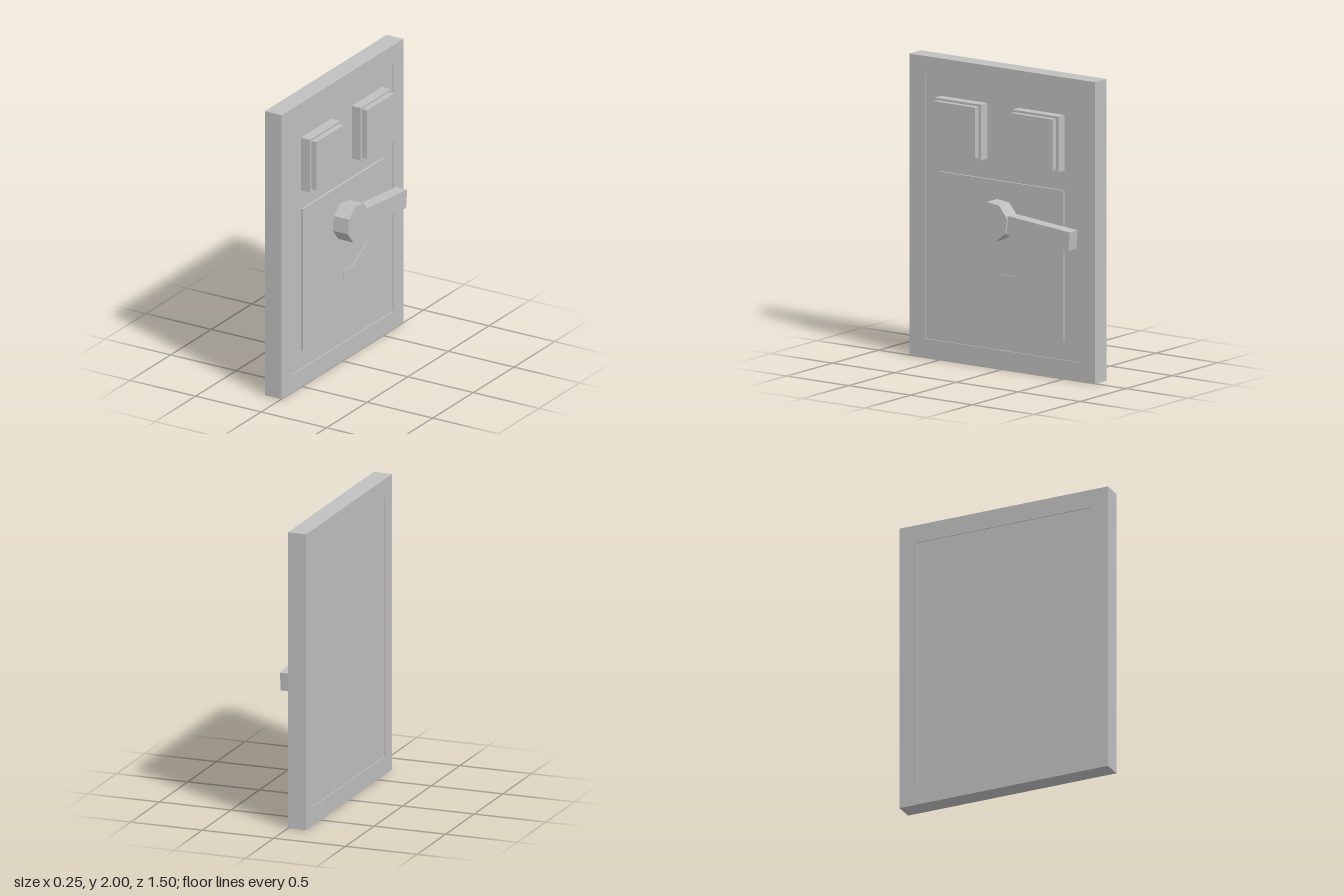
import * as THREE from 'three';

const grey = new THREE.MeshStandardMaterial({ color: 0xc0c0c0, flatShading: true });
grey.name = 'plain grey';

// Local frame: u across the panel, v up, w outwards from the face.
function add(parent, name, geometry) {
  const mesh = new THREE.Mesh(geometry, grey);
  mesh.name = name;
  parent.add(mesh);
  return mesh;
}

function block(u0, u1, v0, v1, w0, w1) {
  return new THREE.BoxGeometry(u1 - u0, v1 - v0, w1 - w0)
    .translate((u0 + u1) / 2, (v0 + v1) / 2, (w0 + w1) / 2);
}

function slab(points, w0, w1, hole) {
  const shape = new THREE.Shape(points.map(([u, v]) => new THREE.Vector2(u, v)));
  if (hole) shape.holes.push(new THREE.Path(hole.map(([u, v]) => new THREE.Vector2(u, v))));
  return new THREE.ExtrudeGeometry(shape, { depth: w1 - w0, bevelEnabled: false }).translate(0, 0, w0);
}

const rect = (u, v0, v1) => [[-u, v0], [u, v0], [u, v1], [-u, v1]];

export function createModel() {
  const model = new THREE.Group();
  model.name = 'leverPanel';
  const panel = new THREE.Group();
  panel.name = 'panelAssembly';
  panel.rotation.y = Math.PI / 2;
  model.add(panel);

  // Border with a shallow recess on both sides
  add(panel, 'frame', slab(rect(0.75, 0, 2), -0.126, 0.002, rect(0.625, 0.125, 1.875)));
  add(panel, 'recessedCore', block(-0.625, 0.625, 0.125, 1.875, -0.12, -0.006));

  // Raised lower plate and the curved track on it
  add(panel, 'lowerPlate', block(-0.5, 0.5, 0.25, 1.25, -0.006, 0.008));
  add(panel, 'leverTrack', slab([
    [0, 0.56], [0.13, 0.555], [0.335, 0.68], [0.45, 0.9], [0.46, 0.98],
    [0.38, 0.98], [0.37, 0.9], [0.28, 0.74], [0.11, 0.63], [0, 0.635],
  ], 0.005, 0.014));

  // Two square buttons with a smaller raised cap
  for (const side of [-1, 1]) {
    const button = new THREE.Group();
    button.name = side < 0 ? 'leftButton' : 'rightButton';
    button.position.set(side * 0.3125, 1.565, 0);
    add(button, 'buttonBase', block(-0.1865, 0.1865, -0.185, 0.185, -0.006, 0.0625));
    add(button, 'buttonCap', block(-0.168, 0.168, -0.169, 0.17, 0.06, 0.1));
    panel.add(button);
  }

  // Eight-sided hub and its slightly drooping lever
  const handle = new THREE.Group();
  handle.name = 'handle';
  handle.position.set(0, 1, 0);
  const octagon = [];
  for (let i = 0; i < 8; i++) {
    const a = (16 + i * 45) * Math.PI / 180;
    octagon.push([0.132 * Math.cos(a), 0.132 * Math.sin(a)]);
  }
  add(handle, 'hub', slab(octagon, 0.008, 0.122));
  const lever = add(handle, 'lever', block(0.06, 0.622, -0.062, 0.062, 0.02, 0.107));
  lever.rotation.z = -5.2 * Math.PI / 180;
  panel.add(handle);

  return model;
}
